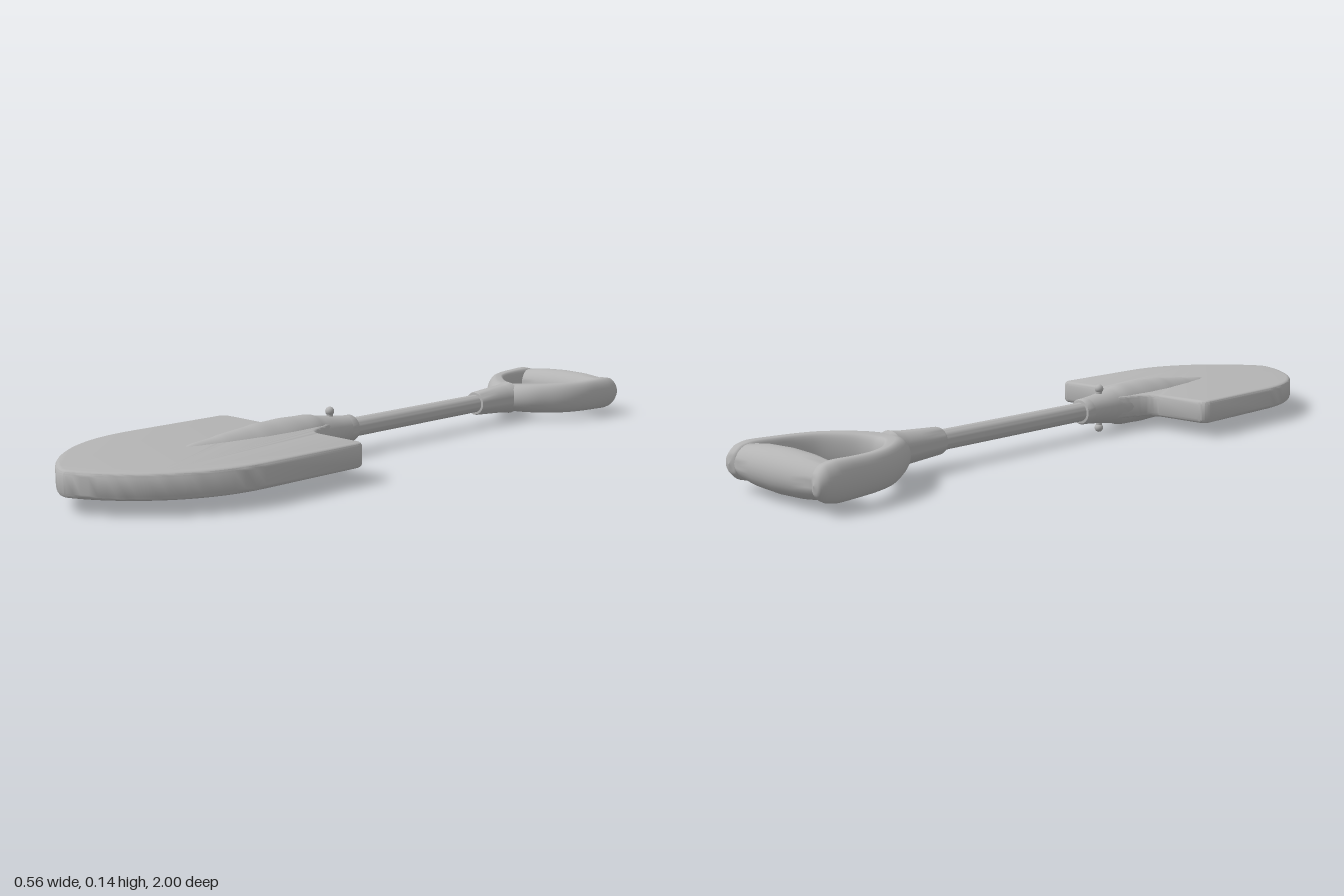
import * as THREE from 'three';
import { toCreasedNormals } from 'three/addons/utils/BufferGeometryUtils.js';

const MID = 0.072; // height of the shaft axis

// Sweep a closed cross-section along a path in the ground plane.
// Each section: [x, z, halfWidth, halfHeight, peak]; peak > 0 gives a bell-like ridge.
function sweep(sections, steps, flatInside = false) {
  const path = new THREE.CatmullRomCurve3(sections.map(s => new THREE.Vector3(s[0], 0, s[1])));
  const size = new THREE.CatmullRomCurve3(sections.map(s => new THREE.Vector3(s[2], s[3], s[4] || 0)));
  const up = new THREE.Vector3(0, 1, 0);
  const sides = 32, pos = [], index = [];
  for (let i = 0; i <= steps; i++) {
    const t = i / steps;
    const p = path.getPoint(t), w = size.getPoint(t);
    const side = new THREE.Vector3().crossVectors(up, path.getTangent(t)).normalize();
    for (let j = 0; j < sides; j++) {
      const a = j / sides * Math.PI * 2;
      const c = Math.cos(a), s = Math.sin(a);
      const cx = flatInside && c < -1e-6 ? -Math.pow(-c, 0.4) : c;
      const v = p.clone().addScaledVector(side, cx * w.x);
      pos.push(v.x, s * Math.pow(Math.abs(s), Math.max(0, w.z)) * w.y, v.z);
      if (i < steps) {
        const k = (j + 1) % sides, r = i * sides, q = r + sides;
        index.push(r + j, r + k, q + k, r + j, q + k, q + j);
      }
    }
  }
  const g = new THREE.BufferGeometry();
  g.setAttribute('position', new THREE.Float32BufferAttribute(pos, 3));
  g.setIndex(index);
  g.computeVertexNormals();
  return g;
}

// Lathe along z; profile points are [radius, z]
function turned(profile, crease = 0.6) {
  const g = new THREE.LatheGeometry(profile.map(p => new THREE.Vector2(p[0], p[1])), 32);
  g.rotateX(Math.PI / 2);
  return toCreasedNormals(g, crease);
}

// Blade plate: square shoulders, pointed tip and curved neck
function bladeGeometry() {
  const half = 0.033, b = 0.012;
  const s = new THREE.Shape();
  s.moveTo(0.028, 0.15);
  s.bezierCurveTo(0.06, 0.21, 0.055, 0.285, 0.12, 0.288);
  s.lineTo(0.25, 0.288);
  s.quadraticCurveTo(0.278, 0.288, 0.278, 0.316);
  s.lineTo(0.275, 0.62);
  s.bezierCurveTo(0.272, 0.82, 0.13, 0.95, 0.015, 0.997);
  s.quadraticCurveTo(0, 1.002, -0.015, 0.997);
  s.bezierCurveTo(-0.13, 0.95, -0.272, 0.82, -0.275, 0.62);
  s.lineTo(-0.278, 0.316);
  s.quadraticCurveTo(-0.278, 0.288, -0.25, 0.288);
  s.lineTo(-0.12, 0.288);
  s.bezierCurveTo(-0.055, 0.285, -0.06, 0.21, -0.028, 0.15);
  const g = new THREE.ExtrudeGeometry(s, {
    depth: 2 * (half - b), bevelThickness: b, bevelSize: b, bevelOffset: -b,
    bevelSegments: 4, curveSegments: 20,
  });
  g.translate(0, 0, b - half);
  g.rotateX(Math.PI / 2);
  return toCreasedNormals(g, 0.6);
}

export function createModel() {
  const group = new THREE.Group();
  const grey = new THREE.MeshStandardMaterial({ color: 0xb4b4b4 });
  grey.name = 'grey';
  const add = (name, geometry, y = MID, x = 0, z = 0) => {
    const m = new THREE.Mesh(geometry, grey);
    m.name = name;
    m.position.set(x, y, z);
    group.add(m);
    return m;
  };

  add('blade', bladeGeometry());

  // Socket that swells out of the collar and fades into a ridge on the blade
  add('socket', sweep([
    [0, 0.08, 0.037, 0.037], [0, 0.13, 0.041, 0.042], [0, 0.2, 0.05, 0.052],
    [0, 0.28, 0.065, 0.06, 0.2], [0, 0.36, 0.07, 0.06, 0.5], [0, 0.44, 0.065, 0.055, 0.6],
    [0, 0.53, 0.055, 0.047, 0.6], [0, 0.62, 0.035, 0.037, 0.5], [0, 0.68, 0, 0.025, 0.4],
  ], 48));
  add('collar', turned([[0.027, 0.06], [0.034, 0.061], [0.037, 0.066], [0.038, 0.098], [0.035, 0.104], [0.02, 0.104]]));
  add('shaft', turned([[0.027, -0.5], [0.027, 0.09]]));

  // Rivet through the socket with a round head at each end
  add('rivetPin', new THREE.CylinderGeometry(0.009, 0.009, 0.11, 16), MID, 0, 0.145);
  for (const d of [-1, 1]) {
    add('rivetHead', new THREE.SphereGeometry(0.0125, 20, 12), MID + d * 0.0575, 0, 0.145);
  }

  // Tapered ferrule leading into the yoke
  add('ferrule', turned([
    [0.02, -0.655], [0.04, -0.65], [0.05, -0.64], [0.045, -0.615], [0.044, -0.605], [0.041, -0.56],
    [0.036, -0.484], [0.034, -0.479], [0.02, -0.478],
  ]));

  // U-shaped yoke, one arm mirrored about the middle
  const arm = [
    [0.163, -0.994, 0, 0], [0.164, -0.988, 0.018, 0.024], [0.165, -0.968, 0.026, 0.043],
    [0.166, -0.935, 0.028, 0.049], [0.164, -0.88, 0.025, 0.048], [0.157, -0.82, 0.025, 0.047],
    [0.136, -0.762, 0.026, 0.047], [0.098, -0.71, 0.03, 0.046], [0.052, -0.667, 0.037, 0.044],
  ];
  const mirrored = arm.map(([x, ...rest]) => [-x, ...rest]).reverse();
  add('yoke', sweep([...arm, [0, -0.648, 0.042, 0.042], ...mirrored], 96, true));

  // Barrel-shaped hand grip between the arms
  const grip = turned([
    [0.0, -0.155], [0.042, -0.155], [0.046, -0.13], [0.052, -0.08], [0.055, 0],
    [0.052, 0.08], [0.046, 0.13], [0.042, 0.155], [0.0, 0.155],
  ]);
  grip.rotateY(Math.PI / 2);
  add('handGrip', grip, MID, 0, -0.945);

  return group;
}
